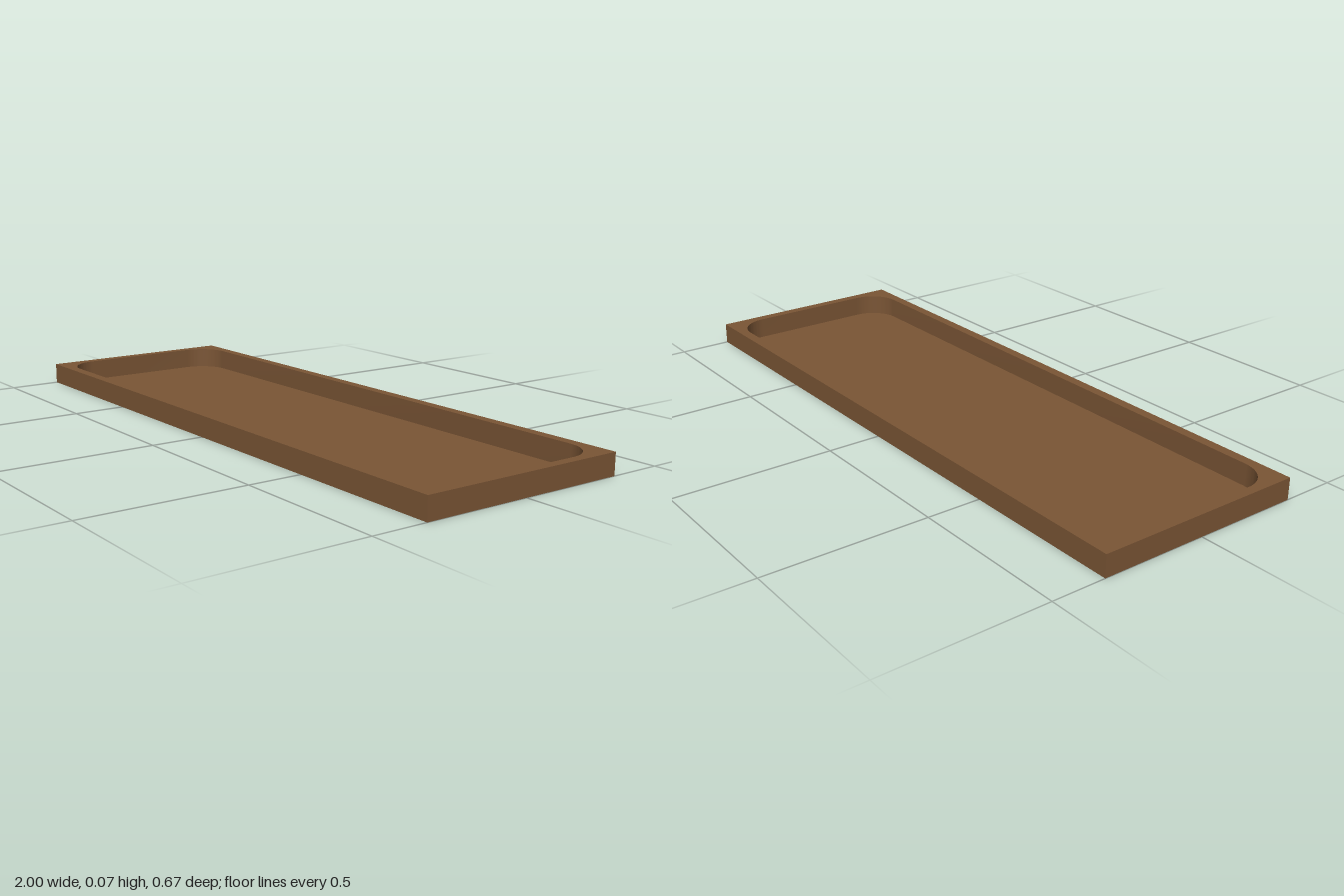
import * as THREE from 'three';
import { toCreasedNormals } from 'three/addons/utils/BufferGeometryUtils.js';

const HEIGHT = 0.067;

// Rectangle with optional rounded corners, counter-clockwise
function rectangle(Outline, halfX, halfZ, radius) {
  const s = new Outline();
  const x = halfX - radius, z = halfZ - radius;
  if (radius === 0) {
    s.moveTo(x, -z).lineTo(x, z).lineTo(-x, z).lineTo(-x, -z);
    return s;
  }
  [[x, -z], [x, z], [-x, z], [-x, -z]].forEach(([cx, cz], i) => {
    s.absarc(cx, cz, radius, (i - 1) * Math.PI / 2, i * Math.PI / 2, false);
  });
  return s;
}

// Upright open wall following a closed outline from y = 0 to the rim
function wallGeometry(points) {
  const positions = [], index = [], n = points.length;
  points.forEach((p, i) => {
    positions.push(p.x, 0, -p.y, p.x, HEIGHT, -p.y);
    const a = 2 * i, b = 2 * ((i + 1) % n);
    index.push(a, b, b + 1, a, b + 1, a + 1);
  });
  const g = new THREE.BufferGeometry();
  g.setAttribute('position', new THREE.Float32BufferAttribute(positions, 3));
  g.setIndex(index);
  return toCreasedNormals(g, Math.PI / 6);
}

export function createModel() {
  const group = new THREE.Group();
  group.name = 'tray';
  const wood = new THREE.MeshStandardMaterial({ color: 0x7a5535, side: THREE.DoubleSide });
  const add = (name, geometry, y = 0) => {
    const mesh = new THREE.Mesh(geometry, wood);
    mesh.name = name;
    mesh.position.y = y;
    group.add(mesh);
  };

  const outer = rectangle(THREE.Shape, 1, 0.333, 0);
  const inner = rectangle(THREE.Shape, 0.97, 0.301, 0.1);

  // Square outer walls and the rounded recess wall, hollow in between
  add('outerWall', wallGeometry(outer.getPoints()));
  add('recessWall', wallGeometry(inner.getPoints(12).reverse()));

  // Recess floor
  add('floor', new THREE.ShapeGeometry(inner, 12).rotateX(-Math.PI / 2));

  // Flat rim joining the two walls
  const rim = outer.clone();
  rim.holes.push(rectangle(THREE.Path, 0.97, 0.301, 0.1));
  add('rim', new THREE.ShapeGeometry(rim, 12).rotateX(-Math.PI / 2), HEIGHT);

  return group;
}
